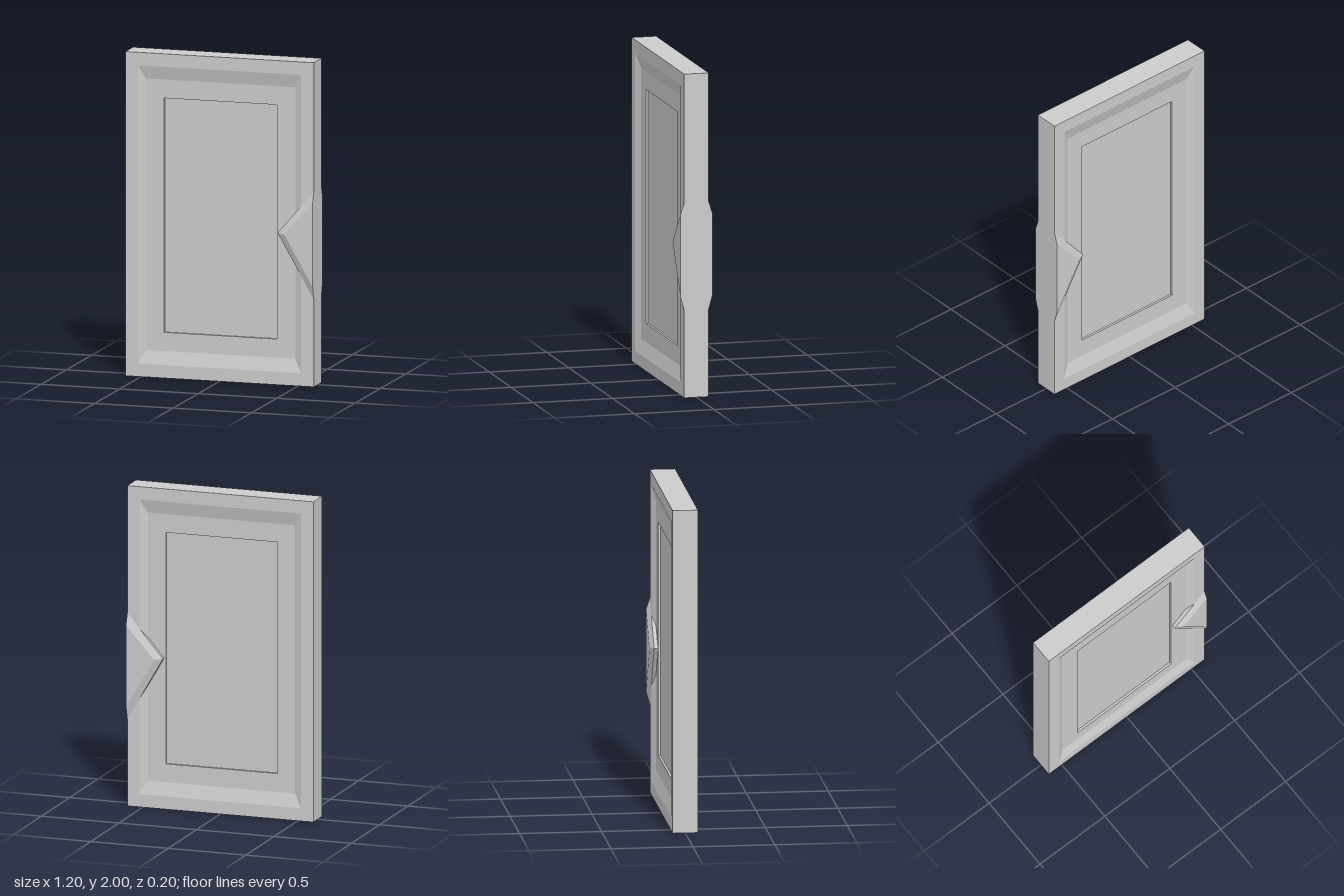
import * as THREE from 'three';

const material = new THREE.MeshStandardMaterial({ color: 0xcccccc, flatShading: true });

// Skin a run of matching counter-clockwise loops, ordered from back to front
function loft(loops, capped) {
  const pos = [];
  const tri = (a, b, c) => pos.push(...a, ...b, ...c);
  const n = loops[0].length;
  for (let k = 0; k < loops.length - 1; k++) {
    const a = loops[k], b = loops[k + 1];
    for (let i = 0; i < n; i++) {
      const j = (i + 1) % n;
      tri(a[i], a[j], b[j]);
      tri(a[i], b[j], b[i]);
    }
  }
  if (capped) {
    const first = loops[0], last = loops[loops.length - 1];
    for (let i = 1; i < n - 1; i++) {
      tri(first[0], first[i + 1], first[i]);
      tri(last[0], last[i], last[i + 1]);
    }
  }
  const g = new THREE.BufferGeometry();
  g.setAttribute('position', new THREE.Float32BufferAttribute(pos, 3));
  g.computeVertexNormals();
  return g;
}

const rect = (w, h, z) => [[-w, 1 - h, z], [w, 1 - h, z], [w, 1 + h, z], [-w, 1 + h, z]];
const atDepth = (points, z) => points.map(([x, y]) => [x, y, z]);

export function createModel() {
  const group = new THREE.Group();
  const add = (name, geometry) => {
    const mesh = new THREE.Mesh(geometry, material);
    mesh.name = name;
    group.add(mesh);
    return mesh;
  };

  const face = 0.077, recess = 0.054, floor = 0.04;

  // Frame: outer rim, sloped bevel, recessed field and step down to the panel
  const profile = [
    [0.6, 1, face],
    [0.52, 0.92, face],
    [0.475, 0.8375, recess],
    [0.36, 0.7225, recess],
    [0.36, 0.7225, floor],
  ];
  const back = profile.map(([w, h, z]) => rect(w, h, -z)).reverse();
  const front = profile.map(([w, h, z]) => rect(w, h, z));
  add('doorFrame', loft([...back, ...front], false));

  // Sunken centre panel, seen from both sides
  add('centrePanel', new THREE.BoxGeometry(0.72, 1.445, floor * 2)).position.y = 1;

  // Triangular handle running through the door, chamfered on both faces
  const base = [[0.37, 0.937], [0.6, 0.54], [0.6, 1.205]];
  const top = [[0.42, 0.932], [0.6, 0.622], [0.6, 1.135]];
  add('handle', loft([
    atDepth(top, -0.1), atDepth(base, -face), atDepth(base, face), atDepth(top, 0.1),
  ], true));

  return group;
}
